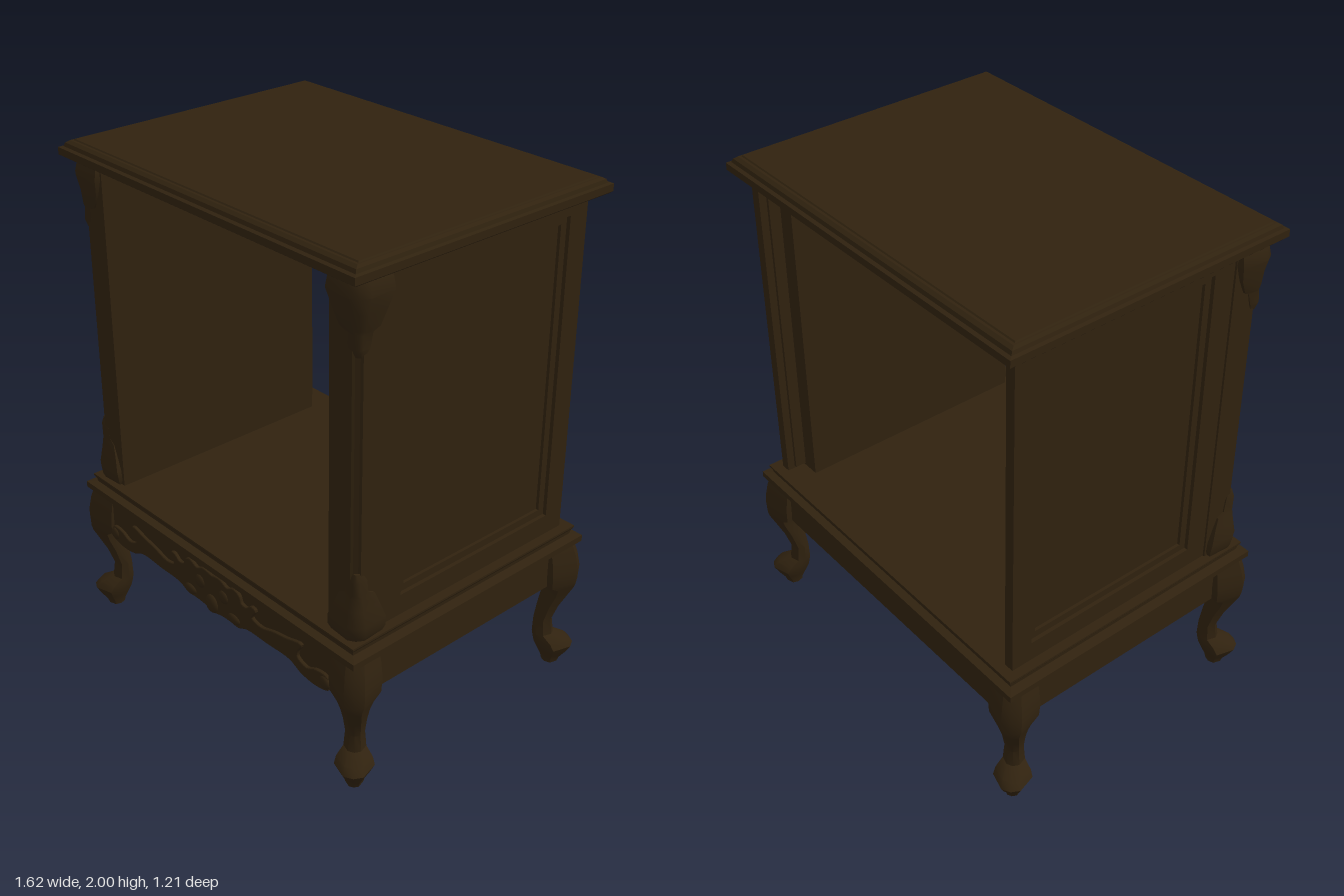
import * as THREE from 'three';
import { toCreasedNormals } from 'three/addons/utils/BufferGeometryUtils.js';

const wood = new THREE.MeshStandardMaterial({ color: 0x30220f });
wood.name = 'dark walnut';

// Skin a stack of rings ([x, z] points, rising in y) and cap both ends
function loft(levels, flip = false, crease = 0.7) {
  const pos = [];
  const tri = (a, b, c) => pos.push(...a, ...b, ...c);
  const rings = levels.map(({ y, ring }) => {
    const r = ring.map(([x, z]) => [x, y, z]);
    return flip ? r.reverse() : r;
  });
  const n = rings[0].length;
  for (let k = 0; k < rings.length - 1; k++) {
    for (let i = 0; i < n; i++) {
      const j = (i + 1) % n, lo = rings[k], hi = rings[k + 1];
      tri(lo[i], hi[i], hi[j]);
      tri(lo[i], hi[j], lo[j]);
    }
  }
  const bottom = rings[0], top = rings[rings.length - 1];
  for (let i = 1; i < n - 1; i++) {
    tri(bottom[0], bottom[i], bottom[i + 1]);
    tri(top[0], top[i + 1], top[i]);
  }
  const g = new THREE.BufferGeometry();
  g.setAttribute('position', new THREE.Float32BufferAttribute(pos, 3));
  return toCreasedNormals(g, crease);
}

// Corner section between a and b: squared knee (round = 0) to circle (round = 1)
const DZ = 0.205; // corner parts sit this much closer to the middle in z
function cornerRing(a, b, round, edge, sx, sz) {
  const knee = [[0, 0], [0.4, 0], [edge, 0], [1, 0.68], [0.88, 0.88], [0.68, 1], [0, edge], [0, 0.4]];
  const angles = [-135, -90, -45, 8, 45, 82, 135, 180];
  return knee.map(([u, v], i) => {
    const t = THREE.MathUtils.degToRad(angles[i]);
    const p = THREE.MathUtils.lerp(u, 0.5 + 0.5 * Math.cos(t), round);
    const q = THREE.MathUtils.lerp(v, 0.5 + 0.5 * Math.sin(t), round);
    return [sx * (a + p * (b - a)), sz * (a + q * (b - a) - DZ)];
  });
}
function cornerPart(profile, edge, sx, sz) {
  const levels = profile.map(([y, a, b, r = 0]) => ({ y, ring: cornerRing(a, b, r, edge, sx, sz) }));
  return loft(levels, sx * sz < 0);
}

// Moulded rectangular slab from [y, halfX, halfZ] steps
const slab = (steps) => loft(steps.map(([y, x, z]) => ({ y, ring: [[-x, -z], [x, -z], [x, z], [-x, z]] })), false, 0.1);

// Mirrored outline from half of an upper and a lower edge, both listed from the middle outwards
function mirroredShape(upper, lower) {
  const right = [...lower, ...[...upper].reverse()];
  const left = [...right].reverse().map(([x, y]) => [-x, y]);
  return new THREE.Shape([...right, ...left].map(([x, y]) => new THREE.Vector2(x, y)));
}
const smooth = (pts, n) => new THREE.CatmullRomCurve3(pts.map(([x, y]) => new THREE.Vector3(x, y, 0)))
  .getPoints(n).map((p) => [p.x, p.y]);

export function createModel() {
  const model = new THREE.Group();
  model.name = 'cabinet';
  const add = (name, geo, x = 0, y = 0, z = 0) => {
    const m = new THREE.Mesh(geo, wood);
    m.name = name;
    m.position.set(x, y, z);
    model.add(m);
    return m;
  };
  const box = (name, w, h, d, x, y, z) => add(name, new THREE.BoxGeometry(w, h, d), x, y, z);

  // Top, ceiling and floor mouldings
  add('top', slab([[1.94, 0.77, 0.58], [1.945, 0.775, 0.587], [1.972, 0.775, 0.587], [1.975, 0.762, 0.572],
    [1.988, 0.758, 0.566], [1.996, 0.748, 0.552], [1.996, 0.742, 0.542], [2, 0.738, 0.538]]));
  box('ceiling', 1.3, 0.04, 0.96, 0, 1.92, 0.03);
  add('floor', slab([[0.55, 0.775, 0.575], [0.555, 0.786, 0.586], [0.58, 0.786, 0.586], [0.585, 0.75, 0.555],
    [0.6, 0.752, 0.558], [0.612, 0.76, 0.566], [0.62, 0.76, 0.566]]));

  // Rectangular frame in the z-y plane, extruded along x
  const frame = (z0, z1, y0, y1, hole, depth) => {
    const rect = (a, b, c, d, C) => new C([[a, c], [b, c], [b, d], [a, d]].map((p) => new THREE.Vector2(...p)));
    const s = rect(-z1, -z0, y0, y1, THREE.Shape);
    s.holes.push(rect(-hole[1], -hole[0], hole[2], hole[3], THREE.Path));
    return new THREE.ExtrudeGeometry(s, { depth, bevelEnabled: false }).rotateY(Math.PI / 2);
  };

  // Side walls with recessed panels, and front posts
  for (const sx of [1, -1]) {
    box('innerWall', 0.08, 1.32, 0.89, sx * 0.64, 1.28, -0.005);
    box('sidePanel', 0.025, 1.3, 0.86, sx * 0.6825, 1.28, -0.065);
    add('sideFrame', frame(-0.525, 0.41, 0.62, 1.94, [-0.44, 0.31, 0.7, 1.88], 0.04), sx > 0 ? 0.682 : -0.722);
    add('panelMoulding', frame(-0.44, 0.31, 0.7, 1.88, [-0.412, 0.282, 0.728, 1.852], 0.025), sx > 0 ? 0.682 : -0.707);
    const post = [[0.6, 0.4], [0.73, 0.4], [0.73, 0.505], [0.722, 0.51], [0.71, 0.522], [0.705, 0.53], [0.6, 0.53]]
      .map(([x, z]) => [sx * x, z]);
    add('frontPost', loft([{ y: 0.62, ring: post }, { y: 1.94, ring: post }], sx < 0, 0.2));

    // Leaf carvings at the head and foot of each post
    add('upperCarving', cornerPart([[1.672, 0.7, 0.728], [1.7, 0.688, 0.738], [1.75, 0.675, 0.737],
      [1.765, 0.65, 0.744], [1.82, 0.625, 0.752], [1.88, 0.607, 0.766], [1.92, 0.61, 0.758], [1.94, 0.617, 0.75]], 0.95, sx, 1));
    add('lowerCarving', cornerPart([[0.62, 0.62, 0.75], [0.64, 0.612, 0.758], [0.68, 0.615, 0.762],
      [0.74, 0.635, 0.75], [0.785, 0.652, 0.742], [0.8, 0.68, 0.738], [0.85, 0.686, 0.738], [0.88, 0.702, 0.728]], 0.95, sx, 1));

    // Curved legs with pad feet
    for (const sz of [1, -1]) {
      add('leg', cornerPart([[0, 0.7, 0.762, 0.8], [0.02, 0.697, 0.768, 0.7], [0.05, 0.685, 0.788, 0.6],
        [0.085, 0.673, 0.807, 0.5], [0.11, 0.668, 0.79, 0.6], [0.135, 0.665, 0.745, 0.9], [0.2, 0.668, 0.737, 0.9],
        [0.27, 0.676, 0.757, 0.7], [0.33, 0.687, 0.782, 0.4], [0.365, 0.685, 0.797, 0.2], [0.39, 0.652, 0.805],
        [0.45, 0.648, 0.808], [0.51, 0.648, 0.798], [0.555, 0.648, 0.785]], 0.82, sx, sz));
    }
    box('sideApron', 0.03, 0.165, 0.92, sx * 0.735, 0.4725, 0);
  }
  box('backApron', 1.34, 0.165, 0.03, 0, 0.4725, -0.535);

  // Scalloped front apron
  const scallop = smooth([[0, 0.357], [0.05, 0.37], [0.11, 0.372], [0.15, 0.37], [0.2, 0.39], [0.32, 0.393],
    [0.44, 0.395], [0.5, 0.37], [0.57, 0.362], [0.63, 0.372], [0.66, 0.39]], 40);
  add('frontApron', new THREE.ExtrudeGeometry(mirroredShape([[0.66, 0.555]], scallop),
    { depth: 0.03, bevelEnabled: false }), 0, 0, 0.53);

  // Carved scrollwork on the apron
  const crest = smooth([[0, 0.522], [0.05, 0.528], [0.09, 0.512], [0.13, 0.528], [0.16, 0.515], [0.17, 0.49], [0.2, 0.485],
    [0.23, 0.505], [0.25, 0.5], [0.23, 0.46], [0.28, 0.445], [0.36, 0.465], [0.42, 0.475], [0.5, 0.492],
    [0.48, 0.455], [0.48, 0.43], [0.53, 0.41], [0.58, 0.43], [0.635, 0.43], [0.645, 0.4]], 70);
  const hem = scallop.filter(([x]) => x < 0.64).map(([x, y]) => [x, y + 0.004]);
  add('scrollwork', new THREE.ExtrudeGeometry(mirroredShape(crest, hem),
    { depth: 0.01, bevelThickness: 0.006, bevelSize: 0.004, bevelSegments: 2 }), 0, 0, 0.557);

  // Raised buttons, curls and centre shell
  const dome = (name, r, x, y, sx = 1, sy = 1) => {
    const m = add(name, new THREE.SphereGeometry(r, 16, 10), x, y, 0.57);
    m.scale.set(sx, sy, 0.5);
  };
  for (const s of [1, -1]) {
    dome('button', 0.028, s * 0.07, 0.465);
    dome('curl', 0.026, s * 0.625, 0.405);
    dome('leafTip', 0.03, s * 0.13, 0.4, 1.2, 0.7);
  }
  dome('shell', 0.04, 0, 0.4, 0.9, 1);

  return model;
}
